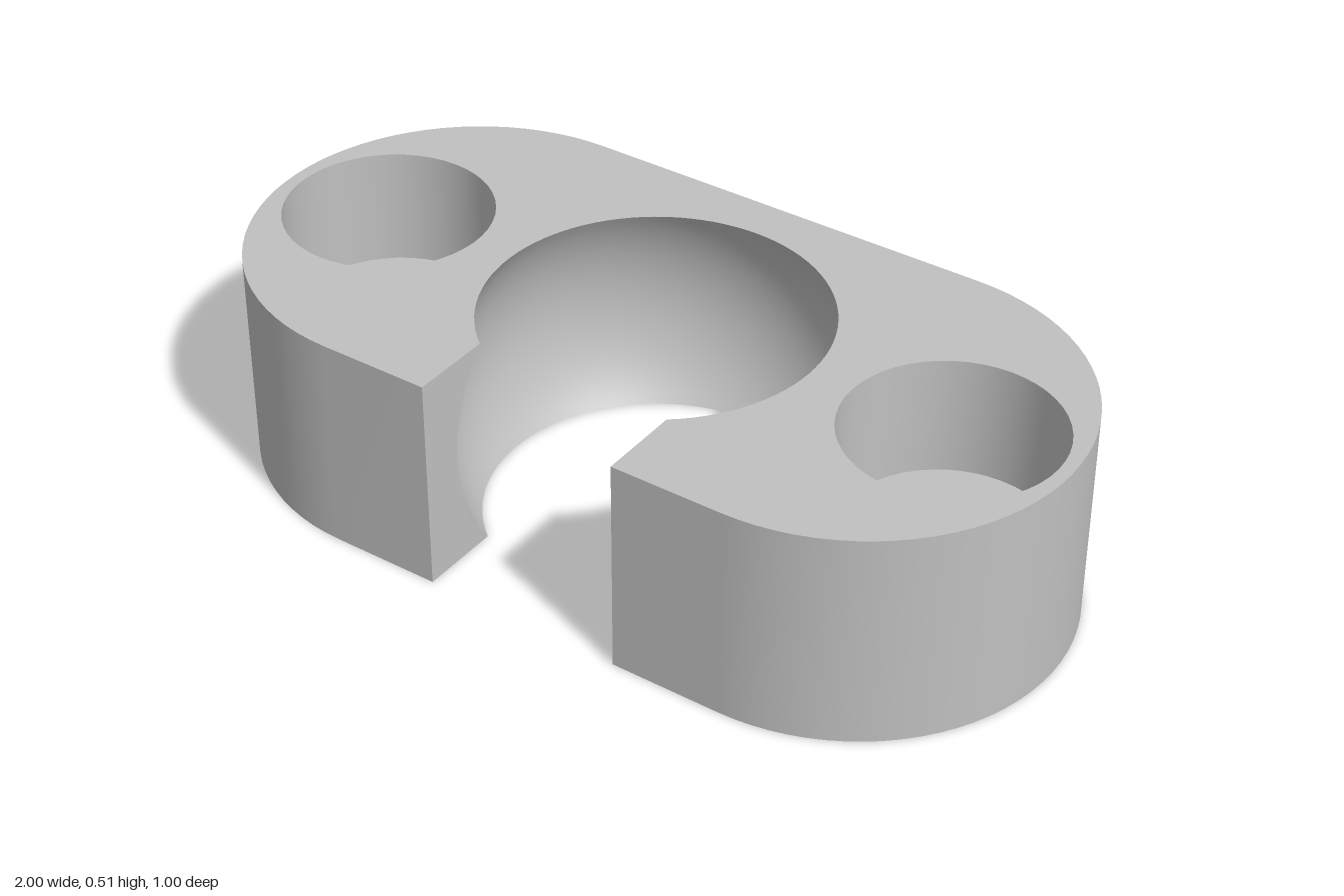
import * as THREE from 'three';

const H = 0.512;          // block height
const END = 0.5;          // end radius and half depth
const SLOT = 0.238;       // half width of the front opening
const RIM = 0.387;        // socket radius at top and bottom faces
const SPHERE = Math.hypot(RIM, H / 2);
const HOLE_X = 0.73, HOLE_R = 0.132, BORE_R = 0.24, BORE_FLOOR = 0.23;

// Paths lie in plan: x right, y towards the back.
function arc(cx, r, from, to, n) {
  return Array.from({ length: n + 1 }, (_, i) => {
    const a = from + (to - from) * i / n;
    return new THREE.Vector2(cx + r * Math.cos(a), r * Math.sin(a));
  });
}

// Wall through the plan path at each height; solid lies left of the path.
function wall(pathAt, heights) {
  const pos = [], index = [];
  let n = 0;
  heights.forEach((y, j) => {
    const path = pathAt(y);
    n = path.length;
    path.forEach(p => pos.push(p.x, y, -p.y));
    if (j === 0) return;
    for (let i = 0; i < n - 1; i++) {
      const a = (j - 1) * n + i, d = j * n + i;
      index.push(a, a + 1, d + 1, a, d + 1, d);
    }
  });
  const g = new THREE.BufferGeometry();
  g.setAttribute('position', new THREE.Float32BufferAttribute(pos, 3));
  g.setIndex(index);
  g.computeVertexNormals();
  return g;
}

// Flat face with round holes, facing up or down.
function cap(outline, holes, y, down = false) {
  const shape = new THREE.Shape(outline);
  holes.forEach(h => shape.holes.push(new THREE.Path(h)));
  const g = new THREE.ShapeGeometry(shape).rotateX(-Math.PI / 2).translate(0, y, 0);
  if (down) {
    g.index.array.reverse();
    g.computeVertexNormals();
  }
  return g;
}

// Socket radius and the depth where it meets the slot at a given height
const socketRadius = y => Math.sqrt(SPHERE ** 2 - (y - H / 2) ** 2);
const slotMeet = y => -Math.sqrt(socketRadius(y) ** 2 - SLOT ** 2);

function socketPath(y) {
  const half = Math.asin(SLOT / socketRadius(y));
  return arc(0, socketRadius(y), 1.5 * Math.PI - half, -0.5 * Math.PI + half, 72);
}

export function createModel() {
  const group = new THREE.Group();
  const grey = new THREE.MeshStandardMaterial({ color: 0xc0c0c0 });
  grey.name = 'plain grey';
  const add = (name, geometry) => {
    const mesh = new THREE.Mesh(geometry, grey);
    mesh.name = name;
    group.add(mesh);
  };

  const levels = Array.from({ length: 25 }, (_, i) => H * i / 24);
  const q = Math.PI / 2;
  const outer = [
    new THREE.Vector2(SLOT, -END),
    ...arc(1 - END, END, -q, q, 40),
    ...arc(END - 1, END, q, 3 * q, 40),
    new THREE.Vector2(-SLOT, -END),
  ];
  const circle = (side, r) => arc(side * HOLE_X, r, 2 * Math.PI, 0, 48);
  const holes = r => [-1, 1].map(s => circle(s, r).slice(0, -1));
  const outline = [...outer, ...socketPath(0)];

  // Clamp body
  add('outerWall', wall(() => outer, [0, H]));
  add('topFace', cap(outline, holes(BORE_R), H));
  add('bottomFace', cap(outline, holes(HOLE_R), 0, true));

  // Spherical socket and the slot that opens it to the front
  add('socket', wall(socketPath, levels));
  add('rightSlotWall', wall(y => [
    new THREE.Vector2(-SLOT, -END), new THREE.Vector2(-SLOT, slotMeet(y))], levels));
  add('leftSlotWall', wall(y => [
    new THREE.Vector2(SLOT, slotMeet(y)), new THREE.Vector2(SLOT, -END)], levels));

  // Counterbored screw holes
  for (const [side, name] of [[1, 'left'], [-1, 'right']]) {
    add(name + 'Counterbore', wall(() => circle(side, BORE_R), [BORE_FLOOR, H]));
    add(name + 'ScrewHole', wall(() => circle(side, HOLE_R), [0, BORE_FLOOR]));
    add(name + 'CounterboreFloor', cap(
      circle(side, BORE_R).slice(0, -1), [circle(side, HOLE_R).slice(0, -1)], BORE_FLOOR));
  }
  return group;
}
